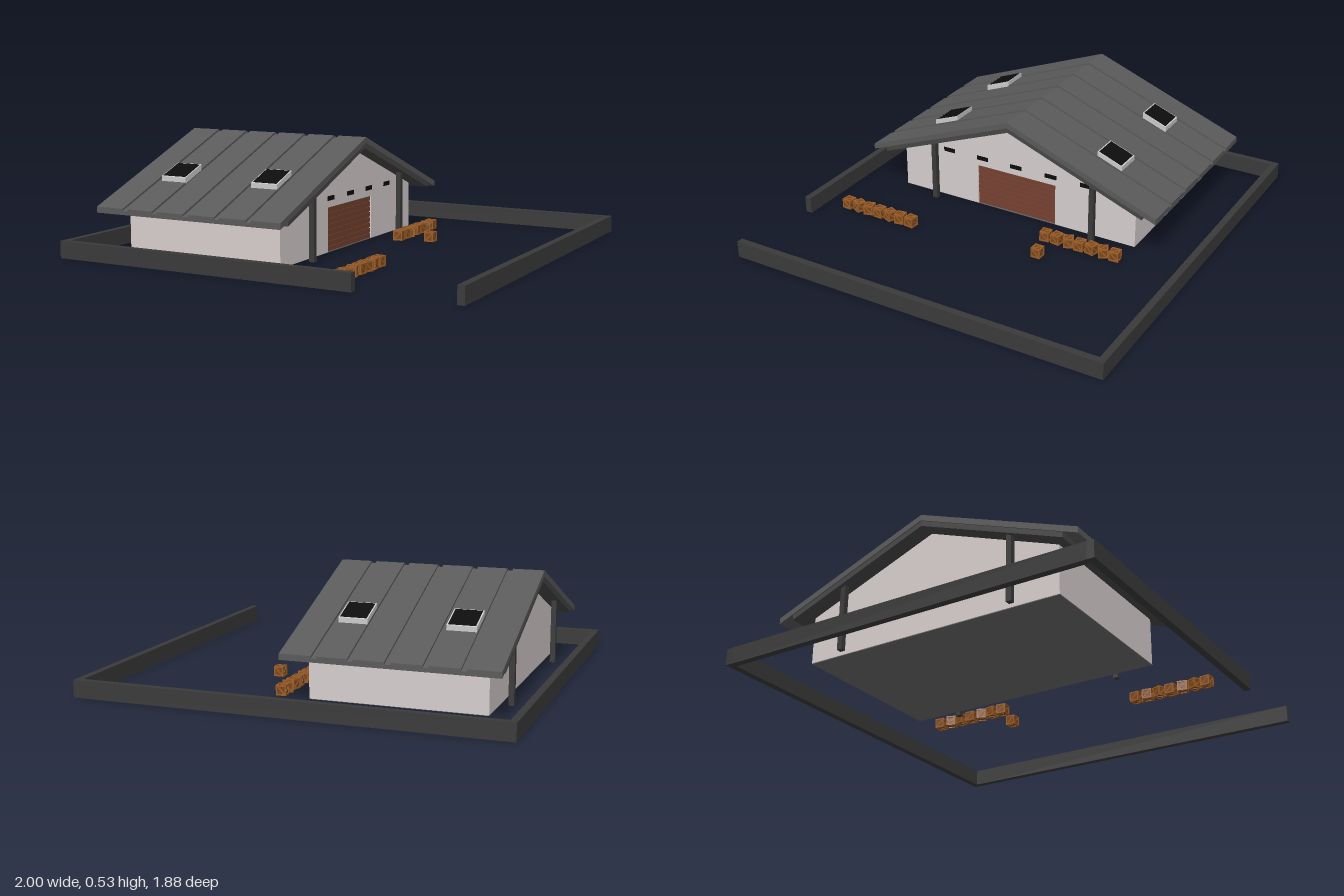
import * as THREE from 'three';

const Z0 = 0.032; // ridge line
const SLOPE = 0.384;
const roofY = (d) => 0.527 - SLOPE * Math.abs(d);

const mat = (color) => new THREE.MeshStandardMaterial({ color, flatShading: true });
const MATS = {
  wall: mat(0xd6cecd), roof: mat(0x5a5a5a), under: mat(0x464646), fence: mat(0x3a3a3a),
  door: mat(0x74402f), glass: mat(0x0c0c0c), frame: mat(0xcccccc), floor: mat(0x686868),
  crate: mat(0x7a4518), slat: mat(0x9a5c26),
};

function add(parent, name, geometry, material) {
  const mesh = new THREE.Mesh(geometry, material);
  mesh.name = name;
  parent.add(mesh);
  return mesh;
}

// Box given by its limits on each axis
function block(parent, name, material, [x0, x1], [y0, y1], [z0, z1]) {
  const mesh = add(parent, name, new THREE.BoxGeometry(x1 - x0, y1 - y0, z1 - z0), material);
  mesh.position.set((x0 + x1) / 2, (y0 + y1) / 2, (z0 + z1) / 2);
  return mesh;
}

// Profile of [distance from ridge in z, y] points, extruded along x
function profile(parent, name, material, points, x0, x1) {
  const shape = new THREE.Shape(points.map(([d, y]) => new THREE.Vector2(-d, y)));
  const geo = new THREE.ExtrudeGeometry(shape, { depth: x1 - x0, bevelEnabled: false });
  geo.rotateY(Math.PI / 2).translate(x0, 0, Z0);
  return add(parent, name, geo, material);
}

// Roof layer lying between two depths below the roof surface
function roofLayer(parent, name, material, half, a, b, x0, x1) {
  const e = roofY(half), t = roofY(0);
  profile(parent, name, material,
    [[-half, e - a], [0, t - a], [half, e - a], [half, e - b], [0, t - b], [-half, e - b]], x0, x1);
}

function makeCrate() {
  const crate = new THREE.Group();
  crate.name = 'crate';
  const s = 0.048, b = 0.007, h = s / 2 - b / 2;
  add(crate, 'crateCore', new THREE.BoxGeometry(s - b, s - b, s - b), MATS.crate);
  // Twelve edge battens
  for (const u of [-h, h]) for (const v of [-h, h]) {
    add(crate, 'batten', new THREE.BoxGeometry(s, b, b), MATS.slat).position.set(0, u, v);
    add(crate, 'batten', new THREE.BoxGeometry(b, s, b), MATS.slat).position.set(u, 0, v);
    add(crate, 'batten', new THREE.BoxGeometry(b, b, s), MATS.slat).position.set(u, v, 0);
  }
  // Diagonal braces running through to opposite faces
  const len = (s - 2 * b) * 1.35, w = s - 0.003;
  add(crate, 'brace', new THREE.BoxGeometry(len, b, w), MATS.slat).rotation.z = Math.PI / 4;
  add(crate, 'brace', new THREE.BoxGeometry(w, len, b), MATS.slat).rotation.x = Math.PI / 4;
  add(crate, 'brace', new THREE.BoxGeometry(b, w, len), MATS.slat).rotation.y = Math.PI / 4;
  return crate;
}

export function createModel() {
  const model = new THREE.Group();

  // Perimeter wall, open at the front left corner
  const fence = new THREE.Group();
  fence.name = 'perimeterWall';
  model.add(fence);
  const fy = [0, 0.08];
  block(fence, 'backFence', MATS.fence, [-1, 1], fy, [-0.945, -0.912]);
  block(fence, 'rightFence', MATS.fence, [-1, -0.967], fy, [-0.912, 0.907]);
  block(fence, 'leftFence', MATS.fence, [0.967, 1], fy, [-0.912, 0.94]);
  block(fence, 'frontFence', MATS.fence, [-1, 0.505], fy, [0.907, 0.94]);

  // Gabled walls, with a doorway cut in the outer layer of the left end
  const house = new THREE.Group();
  house.name = 'house';
  model.add(house);
  const W = 0.642, D = 0.216, doorH = 0.213, eave = roofY(W) - 0.05, top = roofY(0) - 0.05;
  profile(house, 'walls', MATS.wall, [[-W, 0.002], [-W, eave], [0, top], [W, eave], [W, 0.002]], -0.805, -0.005);
  profile(house, 'doorWall', MATS.wall,
    [[-W, 0.002], [-W, eave], [0, top], [W, eave], [W, 0.002], [D, 0.002], [D, doorH], [-D, doorH], [-D, 0.002]],
    -0.005, 0.01);
  block(house, 'floor', MATS.floor, [-0.805, 0.008], [0, 0.004], [Z0 - W, Z0 + W]);

  // Slatted door
  const slats = 8, step = doorH / slats;
  for (let i = 0; i < slats; i++)
    block(house, 'doorSlat', MATS.door, [-0.006, 0.004],
      [i * step + 0.003, (i + 1) * step - 0.002], [Z0 - D, Z0 + D]);
  block(house, 'doorBacking', MATS.door, [-0.006, 0], [0.003, doorH], [Z0 - D, Z0 + D]);

  // Slit windows above the door
  for (let i = -2; i <= 2; i++) {
    const z = Z0 + i * 0.19;
    block(house, 'slitWindow', MATS.glass, [0, 0.013], [0.245, 0.266], [z - 0.031, z + 0.031]);
  }

  // Roof: lower deck, upper deck and raised panels with grooves between
  const roof = new THREE.Group();
  roof.name = 'roof';
  model.add(roof);
  roofLayer(roof, 'lowerDeck', MATS.under, 0.705, 0.027, 0.053, -0.885, 0.09);
  roofLayer(roof, 'upperDeck', MATS.roof, 0.778, 0.01, 0.028, -0.89, 0.095);
  const grooves = [-0.73, -0.565, -0.397, -0.231, -0.066];
  for (let i = 0; i <= grooves.length; i++) {
    const x0 = i ? grooves[i - 1] + 0.013 : -0.89;
    const x1 = i < grooves.length ? grooves[i] - 0.013 : 0.095;
    roofLayer(roof, 'roofPanel', MATS.roof, 0.778, 0, 0.01, x0, x1);
  }

  // Skylights, two on each slope
  const tile = (name, material, s, d0, d1, lo, hi, x0, x1) => profile(roof, name, material,
    [[s * d0, roofY(d0) + lo], [s * d1, roofY(d1) + lo], [s * d1, roofY(d1) + hi], [s * d0, roofY(d0) + hi]], x0, x1);
  for (const s of [-1, 1]) for (const x of [-0.645, -0.149]) {
    tile('skylightFrame', MATS.frame, s, 0.39, 0.518, -0.005, 0.023, x - 0.068, x + 0.068);
    tile('skylightGlass', MATS.glass, s, 0.396, 0.512, 0.01, 0.025, x - 0.062, x + 0.062);
  }

  // Posts under the overhanging gable ends
  for (const x of [-0.853, 0.056]) for (const d of [-0.437, 0.437])
    block(model, 'post', MATS.fence, [x - 0.0125, x + 0.0125], [0, roofY(d) - 0.04],
      [Z0 + d - 0.0125, Z0 + d + 0.0125]);

  // Crates: two loosely set rows and a single one
  const turns = [0.08, 0.45, -0.25, 0.04, 0.4, -0.15, 0.1];
  const placeCrate = (x, z, turn) => {
    const crate = makeCrate();
    crate.position.set(x, 0.024, z);
    crate.rotation.y = turn;
    model.add(crate);
  };
  turns.forEach((turn, i) => {
    placeCrate(0.152, -0.578 + i * 0.0607, turn);
    placeCrate(0.36, 0.415 + i * 0.0612, -turns[6 - i]);
  });
  placeCrate(0.303, -0.253, 0);

  return model;
}
